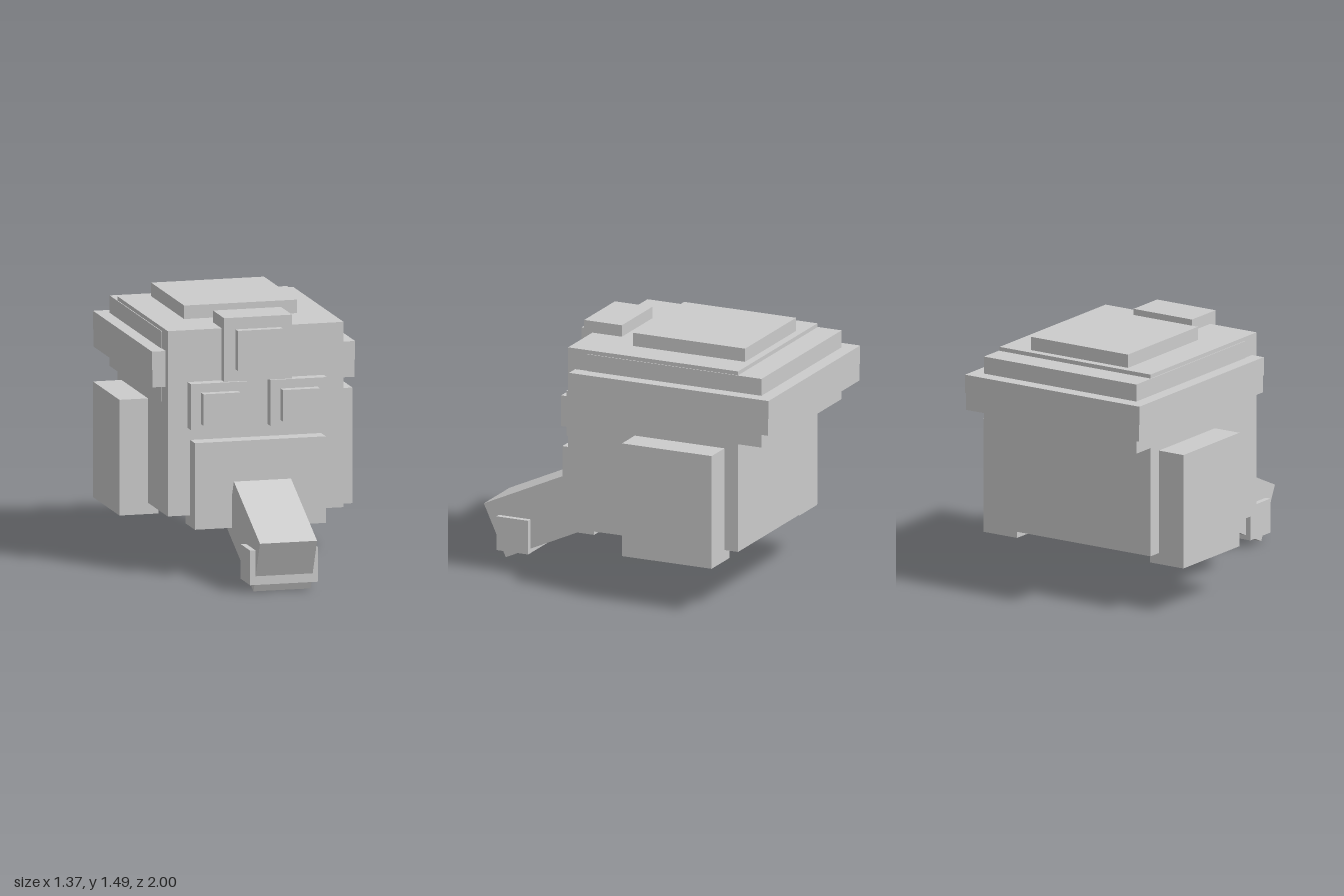
import * as THREE from 'three';

export function createModel() {
  const model = new THREE.Group();
  const grey = new THREE.MeshStandardMaterial({ color: 0xcccccc });
  grey.name = 'grey';

  // Box given by its extents on each axis
  function block(name, [x0, x1], [y0, y1], [z0, z1]) {
    const mesh = new THREE.Mesh(new THREE.BoxGeometry(x1 - x0, y1 - y0, z1 - z0), grey);
    mesh.position.set((x0 + x1) / 2, (y0 + y1) / 2, (z0 + z1) / 2);
    mesh.name = name;
    model.add(mesh);
    return mesh;
  }
  const wide = (h) => [-h, h];

  // Head and muzzle
  block('head', wide(0.517), [0.35, 1.42], [-0.77, 0.3]);
  block('muzzle', wide(0.385), [0.285, 0.785], [0.2, 0.4]);

  // Layered band around the sides and back of the head
  block('innerBand', wide(0.522), [0.99, 1.397], [-0.92, 0.18]);
  block('outerBandUpper', wide(0.597), [1.19, 1.297], [-1, 0.255]);
  block('outerBandLower', wide(0.594), [1.09, 1.19], [-0.997, 0.252]);

  // Crown and forehead
  block('crownPlate', wide(0.332), [1.42, 1.498], [-0.725, -0.02]);
  block('foreheadBlock', wide(0.2), [1.12, 1.488], [0.115, 0.352]);
  block('foreheadBadge', wide(0.133), [1.19, 1.42], [0.352, 0.4]);

  // Paired eyes and ears
  for (const [side, s] of [['left', 1], ['right', -1]]) {
    const span = (a, b) => (s > 0 ? [a, b] : [-b, -a]);
    block(side + 'Eye', span(0.068, 0.4), [0.855, 1.12], [0.3, 0.368]);
    block(side + 'Pupil', span(0.125, 0.342), [0.888, 1.07], [0.377, 0.428]);
    block(side + 'Ear', span(0.455, 0.685), [0.285, 0.953], [-0.685, -0.12]);
  }

  // Sloping trunk with a ring near its tip
  const trunk = block('trunk', wide(0.168), [0.117, 0.448], [0.347, 0.958]);
  trunk.rotation.x = 0.43;
  block('trunkRing', wide(0.2), [0.05, 0.25], [0.705, 0.905]);

  return model;
}
